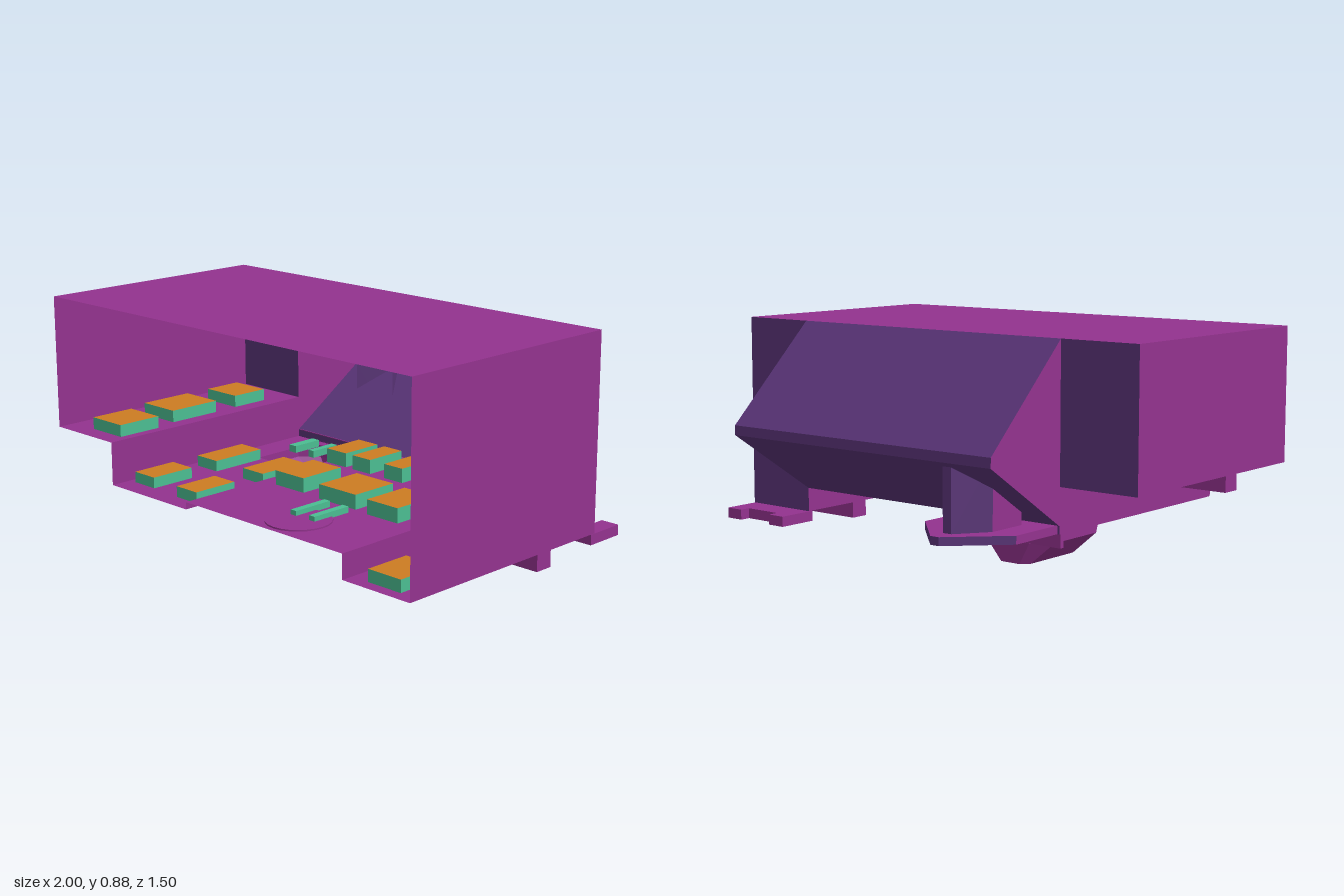
import * as THREE from 'three';

const mat = (name, color) => {
  const m = new THREE.MeshStandardMaterial({ color, side: THREE.DoubleSide });
  m.name = name;
  return m;
};

export function createModel() {
  const magenta = mat('magenta', 0x93328e);
  const purple = mat('purple', 0x5a3478);
  const green = mat('green', 0x4bbd92);
  const orange = mat('orange', 0xcc7c22);

  const model = new THREE.Group();
  const add = (name, geometry, material, parent = model) => {
    const mesh = new THREE.Mesh(geometry, material);
    mesh.name = name;
    parent.add(mesh);
    return mesh;
  };

  // Flat-shaded skin over a strip of equally long point lists
  const loft = (rows, closed = true) => {
    const n = rows[0].length, pos = [];
    for (let r = 0; r + 1 < rows.length; r++) {
      for (let i = 0; i < (closed ? n : n - 1); i++) {
        const j = (i + 1) % n;
        const a = rows[r][i], b = rows[r][j], c = rows[r + 1][j], d = rows[r + 1][i];
        pos.push(...a, ...c, ...b, ...a, ...d, ...c);
      }
    }
    const g = new THREE.BufferGeometry();
    g.setAttribute('position', new THREE.Float32BufferAttribute(pos, 3));
    g.computeVertexNormals();
    return g;
  };
  const quad = (a, b, c, d) => loft([[a, b], [d, c]], false);
  const ring = (pts, y) => pts.map(([x, z]) => [x, y, z]);
  const rect = (x0, x1, z0, z1) => [[x0, z0], [x1, z0], [x1, z1], [x0, z1]];
  const path = (pts) => pts.map(([x, y]) => new THREE.Vector2(x, y));
  // Horizontal sheet with openings
  const sheet = (pts, y, holes = []) => {
    const s = new THREE.Shape(path(pts));
    holes.forEach((h) => s.holes.push(new THREE.Path(path(h))));
    return new THREE.ShapeGeometry(s).rotateX(Math.PI / 2).translate(0, y, 0);
  };
  const block = (x0, x1, y0, y1, z0, z1) =>
    new THREE.BoxGeometry(x1 - x0, y1 - y0, z1 - z0)
      .translate((x0 + x1) / 2, (y0 + y1) / 2, (z0 + z1) / 2);

  const F = 0.75, B = -0.3, T = 0.885, XL = -0.65, XR = 0.67;

  // Outer shell
  add('roof', sheet(rect(-1, 1, B, F), T), magenta);
  const sideWall = (name, x, y0, y1) =>
    add(name, quad([x, y0, F], [x, y0, B], [x, y1, B], [x, y1, F]), magenta);
  sideWall('rightWall', -1, 0.33, T);
  sideWall('leftWall', 1, 0.08, T);
  sideWall('rightStep', XL, 0.15, 0.33);
  sideWall('middleStep', -0.19, 0.15, 0.18);
  sideWall('leftStep', XR, 0.08, 0.18);
  const backWall = (x0, x1, y0, y1) =>
    add('backWall', quad([x0, y0, B], [x1, y0, B], [x1, y1, B], [x0, y1, B]), purple);
  backWall(-1, XL, 0.33, T);
  backWall(XR, 1, 0.08, T);
  backWall(XL, -0.19, 0.15, 0.18);

  // Rear bay: sloped faces between two side cheeks
  const bay = [[B, T], [-0.71, 0.49], [-0.71, 0.45], [B, 0.18]];
  add('bayFaces', loft([XL, XR].map((x) => bay.map(([z, y]) => [x, y, z])), false), purple);
  [XL, XR].forEach((x) => {
    const p = bay.map(([z, y]) => [x, y, z]);
    add('bayCheek', quad(p[0], p[1], p[2], p[3]), magenta);
  });

  // Floors with hollow raised caps: each cap is [x, z, width, depth]
  const floors = [
    { x: [-1, XL], y: 0.33, h: 0.05,
      caps: [[-0.81, -0.07, 0.18, 0.17], [-0.81, 0.25, 0.19, 0.24], [-0.78, 0.57, 0.18, 0.2]] },
    { x: [XL, -0.19], y: 0.15, h: 0.045,
      caps: [[-0.555, 0.2, 0.12, 0.25], [-0.555, 0.56, 0.12, 0.2],
        [-0.28, 0.57, 0.12, 0.2], [-0.28, 0.2, 0.12, 0.23]],
      hole: rect(-0.52, -0.27, -0.26, 0.06) },
    { x: [-0.19, XR], y: 0.18, h: 0.06,
      caps: [[-0.03, 0.24, 0.16, 0.21], [0.25, 0.25, 0.2, 0.21], [0.5, 0.26, 0.16, 0.21],
        [-0.135, -0.12, 0.11, 0.19], [0.01, -0.12, 0.1, 0.19], [0.19, -0.12, 0.1, 0.19],
        [0.355, -0.11, 0.1, 0.19], [0.52, -0.11, 0.12, 0.19]] },
    { x: [XR, 1], y: 0.08, h: 0.05,
      caps: [[0.83, 0.6, 0.16, 0.2], [0.83, 0.27, 0.16, 0.16], [0.83, -0.06, 0.16, 0.19]] },
  ];
  floors.forEach(({ x, y, h, caps, hole }) => {
    const outlines = caps.map(([cx, cz, w, d]) =>
      rect(cx - w / 2, cx + w / 2, cz - d / 2, cz + d / 2));
    add('floor', sheet(rect(x[0], x[1], B, F), y, hole ? [...outlines, hole] : outlines), magenta);
    outlines.forEach((o) => {
      const cap = new THREE.Group();
      cap.name = 'floorCap';
      model.add(cap);
      add('capSides', loft([ring(o, y), ring(o, y + h)]), green, cap);
      add('capTop', sheet(o, y + h), orange, cap);
    });
  });

  // Low round pad with green strips near the front edge
  add('roundPad', new THREE.CylinderGeometry(0.13, 0.13, 0.012, 24).translate(0.29, 0.18, 0.6), magenta);
  [0.24, 0.34].forEach((x) =>
    add('padStrip', block(x - 0.015, x + 0.015, 0.172, 0.205, 0.4, 0.58), green));

  // Ribs under the floors
  add('rightRib', block(-1, XL, 0.265, 0.33, 0.3, 0.38), magenta);
  add('middleRib', block(-0.19, XR, 0.115, 0.18, -0.03, 0.05), magenta);
  add('leftRib', block(XR, 1, 0.012, 0.08, -0.03, 0.05), magenta);
  add('pitRib', block(XL, -0.19, 0.095, 0.15, -0.295, -0.275), magenta);

  // Notched tab behind the left corner
  const tab = new THREE.Shape(path([[XR, -0.28], [1, -0.28], [1, -0.455], [0.92, -0.455],
    [0.92, -0.41], [0.75, -0.41], [0.75, -0.455], [XR, -0.455]]));
  add('rearTab', new THREE.ExtrudeGeometry(tab, { depth: 0.043, bevelEnabled: false })
    .rotateX(Math.PI / 2).translate(0, 0.079, 0), magenta);

  // Faceted pod below the floor opening
  const octagon = (x0, x1, z0, z1, c) => [[x0 + c, z0], [x1 - c, z0], [x1, z0 + c],
    [x1, z1 - c], [x1 - c, z1], [x0 + c, z1], [x0, z1 - c], [x0, z0 + c]];
  const podBase = octagon(-0.47, -0.32, -0.275, 0.06, 0.03);
  add('podShell', loft([ring(podBase, 0.003),
    ring(octagon(-0.56, -0.21, -0.28, 0.13, 0.07), 0.09),
    ring(octagon(-0.56, -0.21, -0.28, 0.15, 0.07), 0.15)]), magenta);
  add('podBottom', sheet(podBase, 0.003), magenta);
  // Window on the pod's sloping side, with a green rim
  const slope = (y, off) => -0.32 + (y - 0.003) * 0.11 / 0.087 + off;
  const pane = (y0, y1, z0, z1, off) => quad([slope(y0, off), y0, z1], [slope(y0, off), y0, z0],
    [slope(y1, off), y1, z0], [slope(y1, off), y1, z1]);
  add('podWindowRim', pane(0.022, 0.088, -0.2, -0.03, 0.004), green);
  add('podWindow', pane(0.032, 0.082, -0.195, -0.035, 0.008), orange);
  // Green catches at the pod opening
  [[-0.5, -0.46], [-0.38, -0.35]].forEach(([x0, x1]) =>
    add('podCatch', block(x0, x1, 0.15, 0.18, -0.24, -0.1), green));

  // Pointed platform and hollow column under the bay
  const prow = (hw, z0, z1, z2) => [[-0.42 + hw, z0], [-0.42 + hw, z1], [-0.4, z2],
    [-0.44, z2], [-0.42 - hw, z1], [-0.42 - hw, z0]];
  const prism = (name, pts, y0, y1) => {
    const lo = ring(pts, y0), hi = ring(pts, y1);
    const face = (i, j) => quad(lo[i], lo[j], hi[j], hi[i]);
    add(name + 'Nose', loft([lo.slice(1, 5), hi.slice(1, 5)], false), purple);
    [[0, 1], [4, 5], [5, 0]].forEach(([i, j]) => add(name + 'Side', face(i, j), magenta));
  };
  const plate = prow(0.22, B, -0.55, -0.75);
  prism('platform', plate, 0.15, 0.183);
  add('platformTop', sheet(plate, 0.183), magenta);
  add('platformBottom', sheet(plate, 0.15), magenta);
  prism('column', prow(0.11, -0.38, -0.55, -0.68), 0.183, 0.46);
  model.children.filter((c) => c.name === 'columnSide').forEach((c) => {
    // Trim the column sides where they meet the sloping bay floor
    const p = c.geometry.attributes.position;
    for (let i = 0; i < p.count; i++) {
      p.setY(i, Math.min(p.getY(i), 0.18 + (B - p.getZ(i)) * 0.27 / 0.41));
    }
  });

  return model;
}
